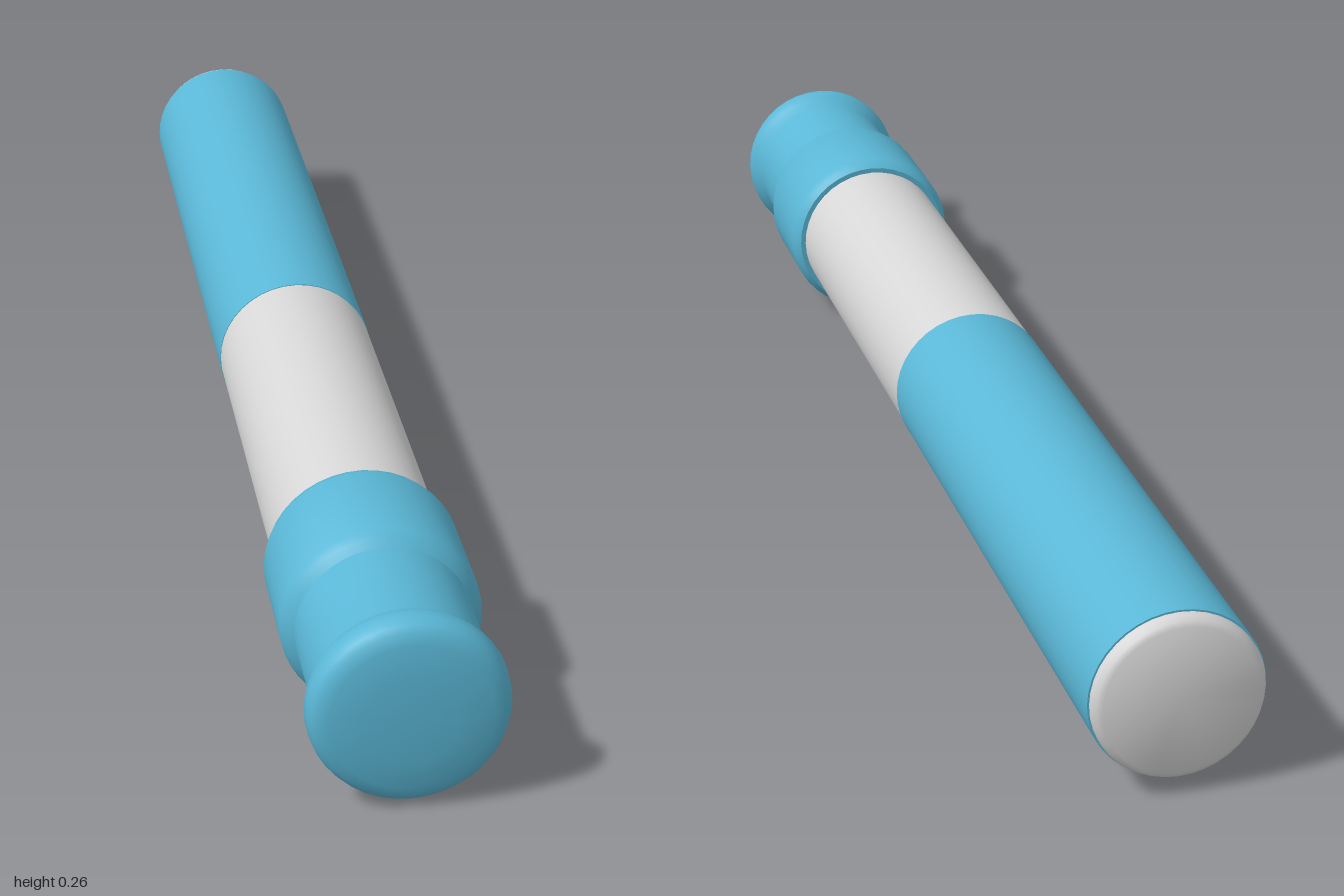
import * as THREE from 'three';
import { toCreasedNormals } from 'three/addons/utils/BufferGeometryUtils.js';

const AXIS_HEIGHT = 0.131;

export function createModel() {
  const group = new THREE.Group();
  group.name = 'capped tube';

  const blue = new THREE.MeshStandardMaterial({ color: 0x5ab7d6 });
  blue.name = 'blue';
  const lightGrey = new THREE.MeshStandardMaterial({ color: 0xd6d6d6 });
  lightGrey.name = 'light grey';

  // Turns a profile of [radius, z] pairs, listed from back to front, about the long axis
  function turned(name, material, profile) {
    const points = profile.map(([r, z]) => new THREE.Vector2(r, z));
    const lathe = new THREE.LatheGeometry(points, 40).rotateX(Math.PI / 2);
    const mesh = new THREE.Mesh(toCreasedNormals(lathe, 0.6), material);
    mesh.name = name;
    mesh.position.y = AXIS_HEIGHT;
    group.add(mesh);
  }

  // Bevelled plug closing the back end
  turned('endPlug', lightGrey, [
    [0, -1], [0.1, -1], [0.107, -0.996], [0.111, -0.988], [0.111, -0.975],
  ]);

  // Coloured rear sleeve
  turned('rearSleeve', blue, [
    [0.109, -0.98], [0.1135, -0.98], [0.1135, -0.04], [0.111, -0.04],
  ]);

  // Plain middle of the barrel
  turned('barrel', lightGrey, [[0.1125, -0.045], [0.1125, 0.6]]);

  // Cap: wide collar, narrower neck, then a flared and slightly domed head
  turned('cap', blue, [
    [0.11, 0.582], [0.12, 0.582], [0.126, 0.589], [0.13, 0.602],
    [0.13, 0.757], [0.124, 0.768], [0.114, 0.778],
    [0.113, 0.925], [0.116, 0.937], [0.122, 0.948], [0.127, 0.957],
    [0.126, 0.972], [0.122, 0.983], [0.115, 0.99], [0.1, 0.995],
    [0.06, 0.999], [0, 1],
  ]);

  return group;
}
